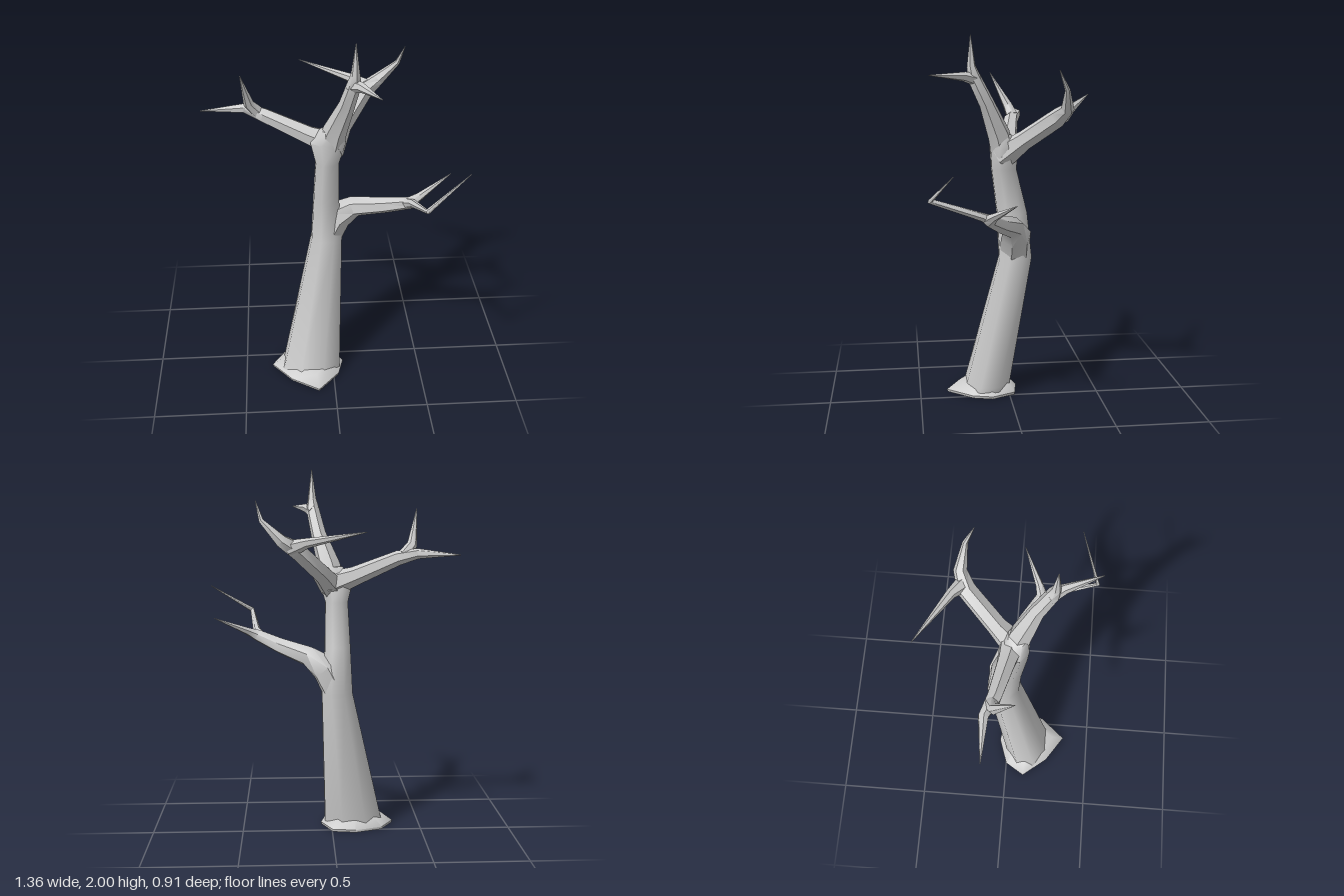
import * as THREE from 'three';
import { toCreasedNormals } from 'three/addons/utils/BufferGeometryUtils.js';

const material = new THREE.MeshStandardMaterial({ color: 0xcccccc });

// Joins rings of points (listed from base to tip) into a closed, capped skin.
function skin(name, rings) {
  const n = rings[0].length;
  const points = rings.flat();
  const index = [];
  for (let i = 0; i < rings.length - 1; i++) {
    for (let j = 0; j < n; j++) {
      const a = i * n + j, b = i * n + (j + 1) % n;
      index.push(a, b, b + n, a, b + n, a + n);
    }
  }
  const top = (rings.length - 1) * n;
  for (let j = 1; j < n - 1; j++) {
    index.push(0, j + 1, j, top, top + j, top + j + 1);
  }
  const geometry = new THREE.BufferGeometry().setFromPoints(points);
  geometry.setIndex(index);
  const mesh = new THREE.Mesh(toCreasedNormals(geometry, 1.0), material);
  mesh.name = name;
  return mesh;
}

// Horizontal oval ring: centre x, y, z and radii along x and z.
function ovalRing([x, y, z, rx, rz], sides = 8) {
  return Array.from({ length: sides }, (_, j) => {
    const a = ((j + 0.5) / sides) * Math.PI * 2;
    return new THREE.Vector3(x + Math.cos(a) * rx, y, z - Math.sin(a) * rz);
  });
}

// Tapering limb through stations of x, y, z, radius.
function limb(name, stations, sides = 6) {
  const p = stations.map(([x, y, z]) => new THREE.Vector3(x, y, z));
  const u = new THREE.Vector3(0.31, 0.2, 0.93);
  const rings = stations.map((s, i) => {
    const t = new THREE.Vector3();
    if (i > 0) t.add(p[i].clone().sub(p[i - 1]).normalize());
    if (i < p.length - 1) t.add(p[i + 1].clone().sub(p[i]).normalize());
    t.normalize();
    u.addScaledVector(t, -u.dot(t)).normalize();
    const v = t.clone().cross(u);
    return Array.from({ length: sides }, (_, j) => {
      const a = (j / sides) * Math.PI * 2;
      return p[i].clone().addScaledVector(u, Math.cos(a) * s[3]).addScaledVector(v, Math.sin(a) * s[3]);
    });
  });
  return skin(name, rings);
}

export function createModel() {
  const tree = new THREE.Group();
  tree.name = 'bareTree';

  // Uneven root flare with a flat underside
  const outline = [[0.06, 0.1], [0.0, -0.03], [-0.13, -0.05], [-0.28, 0.0],
    [-0.35, 0.11], [-0.24, 0.25], [-0.09, 0.35], [0.03, 0.21]];
  const foot = (y, s) => outline.map(([x, z]) =>
    new THREE.Vector3(-0.125 + (x + 0.125) * s, y, 0.12 + (z - 0.12) * s));
  tree.add(skin('rootFlare', [foot(0, 0.98), foot(0.015, 1), foot(0.065, 0.7)]));

  // Leaning trunk
  tree.add(skin('trunk', [
    [-0.125, 0.03, 0.12, 0.175, 0.135],
    [-0.12, 0.06, 0.115, 0.17, 0.132],
    [-0.025, 0.8, -0.033, 0.09, 0.095],
    [-0.028, 1.05, -0.014, 0.074, 0.088],
    [-0.024, 1.29, 0.03, 0.066, 0.072],
    [-0.02, 1.41, 0.03, 0.1, 0.08],
    [0.0, 1.48, 0.045, 0.06, 0.055],
  ].map((r) => ovalRing(r))));

  // Middle leader with a forward spur
  tree.add(
    limb('middleLeader', [[-0.01, 1.36, 0.03, 0.07], [0.015, 1.48, 0.06, 0.063],
      [0.07, 1.65, 0.13, 0.042], [0.1, 1.79, 0.2, 0.036], [0.103, 1.84, 0.212, 0.024], [0.104, 2, 0.215, 0.002]]),
    limb('middleSpur', [[0.09, 1.77, 0.18, 0.035], [0.13, 1.79, 0.25, 0.026], [0.21, 1.8, 0.435, 0.002]]),
  );

  // Right upper branch, forking in two
  tree.add(
    limb('rightBranch', [[0.02, 1.38, 0.02, 0.075], [-0.12, 1.43, -0.005, 0.052],
      [-0.35, 1.53, -0.05, 0.04], [-0.45, 1.555, -0.09, 0.028], [-0.68, 1.547, -0.085, 0.002]]),
    limb('rightSpur', [[-0.38, 1.545, -0.06, 0.035], [-0.425, 1.6, -0.04, 0.028], [-0.46, 1.79, 0.06, 0.002]]),
  );

  // Back branch, hooking upward, with a long rear spur
  tree.add(
    limb('backBranch', [[-0.01, 1.36, 0.04, 0.075], [0.06, 1.45, -0.07, 0.053],
      [0.19, 1.58, -0.23, 0.05], [0.27, 1.63, -0.265, 0.035], [0.37, 1.73, -0.245, 0.014], [0.4, 1.83, -0.2, 0.002]]),
    limb('backSpur', [[0.22, 1.59, -0.24, 0.045], [0.14, 1.62, -0.3, 0.026], [-0.15, 1.68, -0.455, 0.002]]),
  );

  // Left lower branch, forking into a twig and a bent twig
  tree.add(
    limb('leftBranch', [[-0.03, 0.8, -0.03, 0.085], [0.035, 0.93, -0.03, 0.085], [0.13, 0.995, -0.005, 0.058],
      [0.28, 1.04, 0.075, 0.045], [0.41, 1.09, 0.15, 0.034], [0.46, 1.115, 0.13, 0.022], [0.64, 1.2, 0.04, 0.002]]),
    limb('leftBentTwig', [[0.38, 1.08, 0.13, 0.03], [0.415, 1.11, 0.19, 0.022],
      [0.45, 1.2, 0.445, 0.014], [0.68, 1.35, 0.345, 0.002]]),
  );

  return tree;
}
